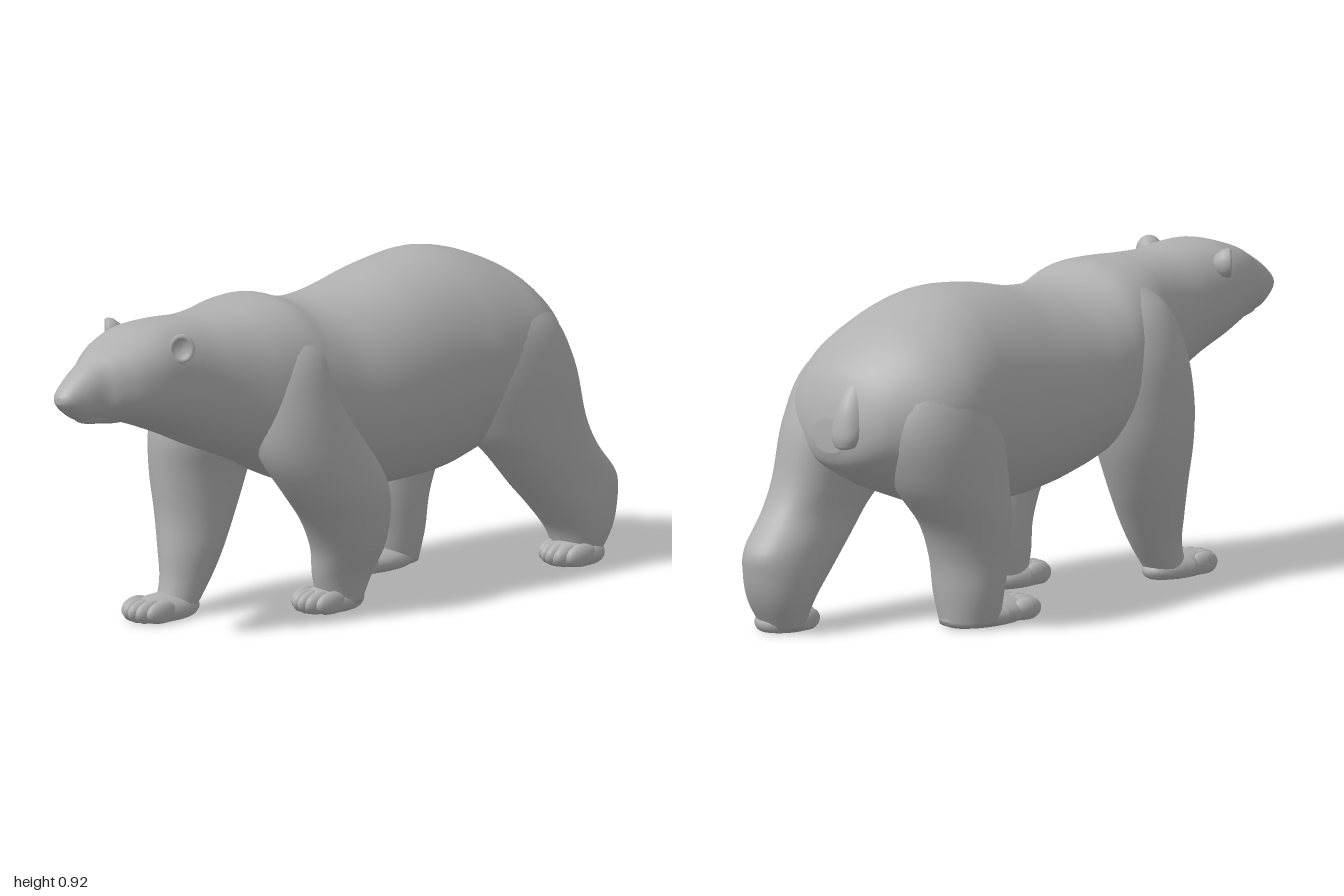
import * as THREE from 'three';

const fur = new THREE.MeshStandardMaterial({ color: 0xb0b0b0 });
fur.name = 'fur grey';

function part(name, geometry, parent) {
  const mesh = new THREE.Mesh(geometry, fur);
  mesh.name = name;
  parent.add(mesh);
  return mesh;
}

// Smooth closed skin over oval sections. Rows ascend along the axis:
// axis 'z': [z, xMin, xMax, yMin, yMax]; axis 'y': [y, xMin, xMax, zMin, zMax]
// An optional sixth value below 1 makes the oval squarer.
function loft(rows, axis, sides = 40, steps = 5) {
  const pos = [], index = [], rings = [];
  const cr = (a, b, c, d, t) => 0.5 * (2 * b + (c - a) * t + (2 * a - 5 * b + 4 * c - d) * t * t + (3 * b - a - 3 * c + d) * t * t * t);
  const last = rows.length - 1;
  for (let i = 0; i < last; i++) {
    const r = [rows[Math.max(i - 1, 0)], rows[i], rows[i + 1], rows[Math.min(i + 2, last)]];
    for (let s = 0; s < steps; s++) rings.push(rows[0].map((_, k) => cr(r[0][k], r[1][k], r[2][k], r[3][k], s / steps)));
  }
  rings.push(rows[last]);
  const put = (p, x, b) => (axis === 'z' ? pos.push(x, b, p) : pos.push(x, p, b));
  const dir = axis === 'z' ? 1 : -1;
  const bend = (v, e) => Math.sign(v) * Math.abs(v) ** e;
  for (const [p, x0, x1, b0, b1, e = 1] of rings) {
    for (let j = 0; j < sides; j++) {
      const a = (j / sides) * Math.PI * 2;
      put(p, (x0 + x1) / 2 + (x1 - x0) / 2 * bend(Math.cos(a), e), (b0 + b1) / 2 + dir * (b1 - b0) / 2 * bend(Math.sin(a), e));
    }
  }
  const n = rings.length;
  for (let i = 0; i < n - 1; i++) {
    for (let j = 0; j < sides; j++) {
      const a = i * sides + j, b = i * sides + (j + 1) % sides;
      index.push(a, b, b + sides, a, b + sides, a + sides);
    }
  }
  // End caps
  for (const [ring, flip] of [[0, true], [n - 1, false]]) {
    const [p, x0, x1, b0, b1] = rings[ring];
    const c = pos.length / 3;
    put(p, (x0 + x1) / 2, (b0 + b1) / 2);
    for (let j = 0; j < sides; j++) {
      const a = ring * sides + j, b = ring * sides + (j + 1) % sides;
      if (flip) index.push(c, b, a); else index.push(c, a, b);
    }
  }
  const g = new THREE.BufferGeometry();
  g.setAttribute('position', new THREE.Float32BufferAttribute(pos, 3));
  g.setIndex(index);
  g.computeVertexNormals();
  return g;
}

// Ellipsoid whose underside is flattened at floor height
function pad(x, y, z, rx, ry, rz, floor) {
  const g = new THREE.SphereGeometry(1, 24, 16);
  g.scale(rx, ry, rz).translate(x, y, z);
  const p = g.attributes.position;
  for (let i = 0; i < p.count; i++) p.setY(i, Math.max(p.getY(i), floor));
  g.computeVertexNormals();
  return g;
}

// Paw: broad sole and a row of closely set toes
function paw(name, x, heel, toe, halfWidth, parent) {
  const g = new THREE.Group();
  g.name = name;
  parent.add(g);
  const len = toe - heel;
  part('sole', pad(x, 0.025, heel + len * 0.48, halfWidth, 0.045, len * 0.48, 0.002), g);
  for (let i = 0; i < 5; i++) {
    const u = (i - 2) / 2;
    part('toe', pad(x + u * halfWidth * 0.72, 0.03, toe - 0.055 - u * u * 0.025, halfWidth * 0.31, 0.033, 0.055, 0.003), g);
  }
}

export function createModel() {
  const bear = new THREE.Group();
  bear.name = 'bear';

  // Trunk, rump to withers
  const trunk = [
    [-0.848, -0.03, 0.08, 0.52, 0.61],
    [-0.83, -0.1, 0.15, 0.48, 0.68],
    [-0.79, -0.17, 0.205, 0.45, 0.755],
    [-0.7, -0.258, 0.255, 0.4, 0.835],
    [-0.6, -0.29, 0.27, 0.36, 0.885],
    [-0.5, -0.285, 0.275, 0.325, 0.915],
    [-0.4, -0.27, 0.27, 0.3, 0.925],
    [-0.25, -0.26, 0.27, 0.295, 0.908],
    [-0.1, -0.255, 0.27, 0.303, 0.875],
    [0.03, -0.245, 0.26, 0.325, 0.863],
  ].map((row) => [...row, 0.97]);
  // Full shoulders and chest, then a squarish head narrowing to the muzzle
  const foreparts = [
    [0.12, -0.242, 0.255, 0.355, 0.872, 0.92],
    [0.2, -0.238, 0.245, 0.39, 0.897, 0.87],
    [0.3, -0.208, 0.225, 0.44, 0.897, 0.84],
    [0.4, -0.165, 0.195, 0.48, 0.89, 0.86],
    [0.5, -0.14, 0.175, 0.52, 0.887, 0.9],
    [0.6, -0.13, 0.168, 0.565, 0.893, 0.88],
    [0.7, -0.125, 0.165, 0.605, 0.888, 0.82],
    [0.78, -0.106, 0.146, 0.632, 0.866, 0.84],
    [0.84, -0.076, 0.116, 0.645, 0.844, 0.88],
    [0.88, -0.05, 0.09, 0.651, 0.824, 0.9],
    [0.93, -0.035, 0.075, 0.658, 0.795, 0.9],
    [0.97, -0.021, 0.06, 0.682, 0.765, 0.95],
    [0.99, -0.008, 0.047, 0.7, 0.746, 1],
    [1, 0.01, 0.03, 0.713, 0.732, 1],
  ];
  part('body', loft([...trunk, ...foreparts], 'z', 56), bear);

  // Lower jaw, tucked under the muzzle
  part('jaw', loft([
    [0.72, -0.03, 0.07, 0.63, 0.7],
    [0.8, -0.035, 0.075, 0.63, 0.7],
    [0.86, -0.024, 0.064, 0.638, 0.69],
    [0.91, -0.01, 0.05, 0.646, 0.685],
    [0.93, 0.008, 0.032, 0.658, 0.68],
  ], 'z', 28), bear);

  // Cupped ears
  const cup = [[0, -0.034], [0.02, -0.028], [0.033, -0.01], [0.036, 0.006], [0.031, 0.012], [0.025, 0.008], [0.015, 0.002], [0, 0]]
    .map(([x, y]) => new THREE.Vector2(x, y));
  for (const s of [-1, 1]) {
    const ear = part(s > 0 ? 'leftEar' : 'rightEar', new THREE.LatheGeometry(cup, 28), bear);
    ear.position.set(0.02 + s * 0.14, 0.84, 0.66);
    ear.scale.set(1, 1.1, 1.15);
    ear.rotation.set(Math.PI / 2, s * 0.8, 0, 'YXZ');
  }

  // Legs in mid stride, each with its shoulder or thigh
  part('rightFrontLeg', loft([
    [0.02, -0.18, -0.07, 0.34, 0.46],
    [0.1, -0.187, -0.06, 0.28, 0.44],
    [0.18, -0.21, -0.05, 0.23, 0.435],
    [0.28, -0.24, -0.045, 0.175, 0.43],
    [0.4, -0.265, -0.03, 0.125, 0.44],
    [0.52, -0.272, 0, 0.1, 0.445],
    [0.66, -0.265, -0.01, 0.11, 0.41],
    [0.78, -0.222, -0.03, 0.14, 0.36],
    [0.86, -0.14, -0.06, 0.2, 0.28],
  ], 'y'), bear);
  part('leftFrontLeg', loft([
    [0.02, 0.07, 0.19, -0.05, 0.08],
    [0.1, 0.065, 0.21, -0.085, 0.105],
    [0.18, 0.065, 0.25, -0.105, 0.125],
    [0.27, 0.07, 0.275, -0.11, 0.18],
    [0.36, 0.075, 0.29, -0.09, 0.26],
    [0.48, 0.05, 0.285, -0.02, 0.34],
    [0.62, 0.02, 0.267, 0.05, 0.36],
    [0.76, 0.03, 0.232, 0.1, 0.33],
    [0.86, 0.07, 0.14, 0.18, 0.26],
  ], 'y'), bear);
  part('rightHindLeg', loft([
    [0.01, -0.24, -0.08, -0.555, -0.38],
    [0.1, -0.26, -0.06, -0.57, -0.375],
    [0.2, -0.27, -0.05, -0.585, -0.355],
    [0.3, -0.285, -0.04, -0.63, -0.35],
    [0.42, -0.295, -0.02, -0.73, -0.36],
    [0.58, -0.298, 0, -0.785, -0.38],
    [0.72, -0.26, -0.02, -0.74, -0.42],
    [0.83, -0.14, -0.07, -0.62, -0.52],
  ], 'y'), bear);
  part('leftHindLeg', loft([
    [0.01, 0.12, 0.24, -0.91, -0.81],
    [0.09, 0.09, 0.265, -0.96, -0.78],
    [0.17, 0.075, 0.275, -0.985, -0.71],
    [0.24, 0.075, 0.275, -0.985, -0.635],
    [0.33, 0.075, 0.28, -0.91, -0.55],
    [0.42, 0.05, 0.285, -0.868, -0.47],
    [0.58, 0.01, 0.285, -0.835, -0.4],
    [0.72, 0.02, 0.25, -0.76, -0.44],
    [0.83, 0.07, 0.14, -0.62, -0.52],
  ].map((row) => [...row, 0.87]), 'y'), bear);

  paw('rightFrontPaw', -0.125, 0.32, 0.58, 0.068, bear);
  paw('leftFrontPaw', 0.125, -0.07, 0.17, 0.068, bear);
  paw('rightHindPaw', -0.155, -0.56, -0.22, 0.09, bear);
  paw('leftHindPaw', 0.195, -0.93, -0.73, 0.075, bear);

  // Stub tail hanging against the rump
  part('tail', loft([
    [0.535, -0.045, -0.015, -0.86, -0.84],
    [0.545, -0.065, 0.005, -0.868, -0.81],
    [0.58, -0.078, 0.018, -0.872, -0.79],
    [0.65, -0.075, 0.015, -0.855, -0.75],
    [0.71, -0.06, 0.01, -0.815, -0.72],
    [0.75, -0.04, 0, -0.765, -0.71],
  ], 'y', 24), bear);

  return bear;
}
